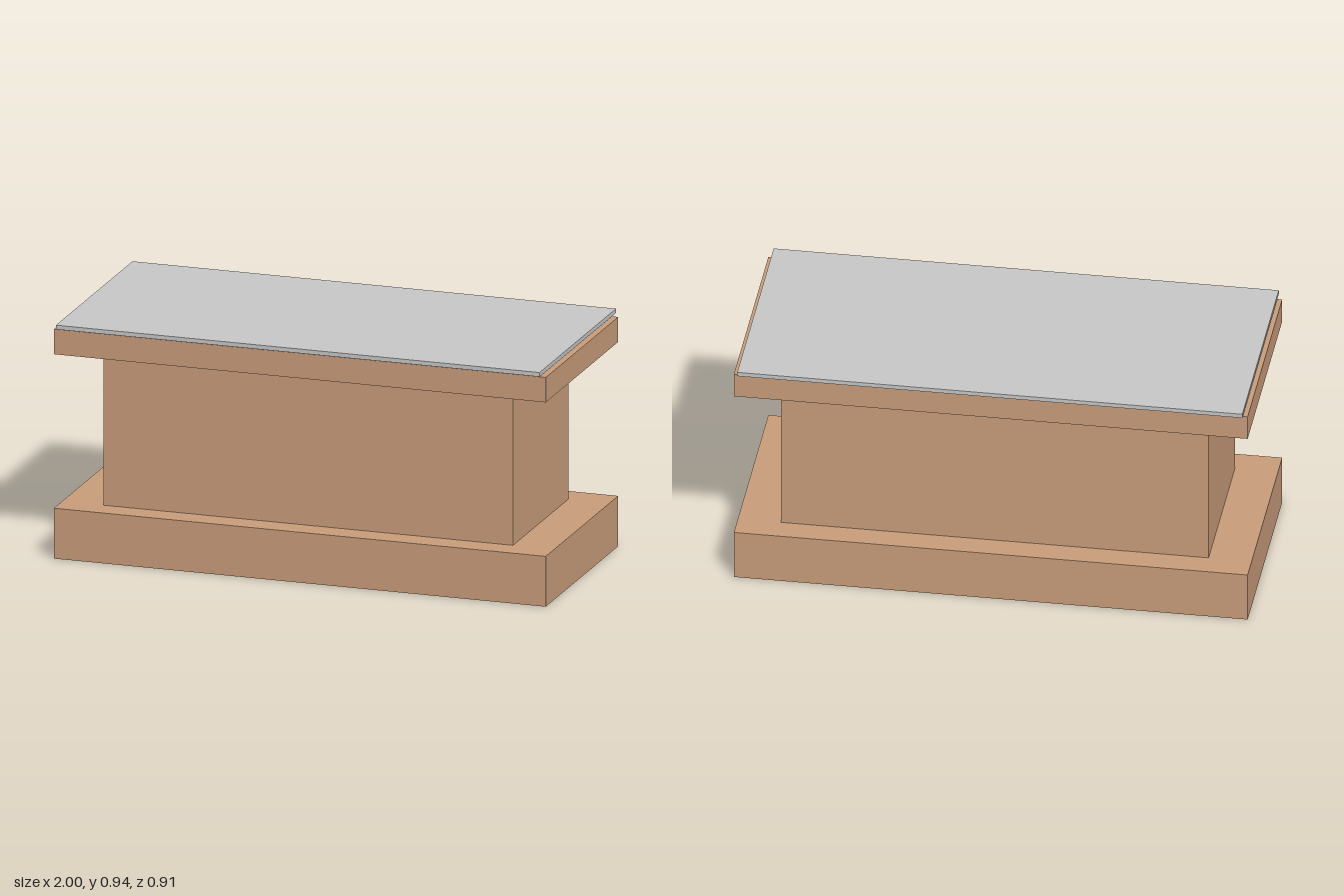
import * as THREE from 'three';

const wood = new THREE.MeshStandardMaterial({ color: 0xca9e7b });
wood.name = 'tan wood';
const glass = new THREE.MeshStandardMaterial({ color: 0xc8c8c8 });
glass.name = 'pale grey';

// Box centred on x and z, spanning from bottom to top
function slab(name, width, depth, bottom, top, material) {
  const mesh = new THREE.Mesh(new THREE.BoxGeometry(width, top - bottom, depth), material);
  mesh.name = name;
  mesh.position.y = (bottom + top) / 2;
  return mesh;
}

export function createModel() {
  const model = new THREE.Group();
  model.name = 'pedestalTable';
  model.add(
    slab('base', 2, 0.86, 0, 0.202, wood),
    slab('pedestal', 1.665, 0.66, 0.202, 0.82, wood),
    slab('tableTop', 2, 0.86, 0.82, 0.92, wood),
    // Thin cover plate, held just clear of the top
    slab('coverPlate', 1.966, 0.908, 0.928, 0.945, glass),
  );
  return model;
}
